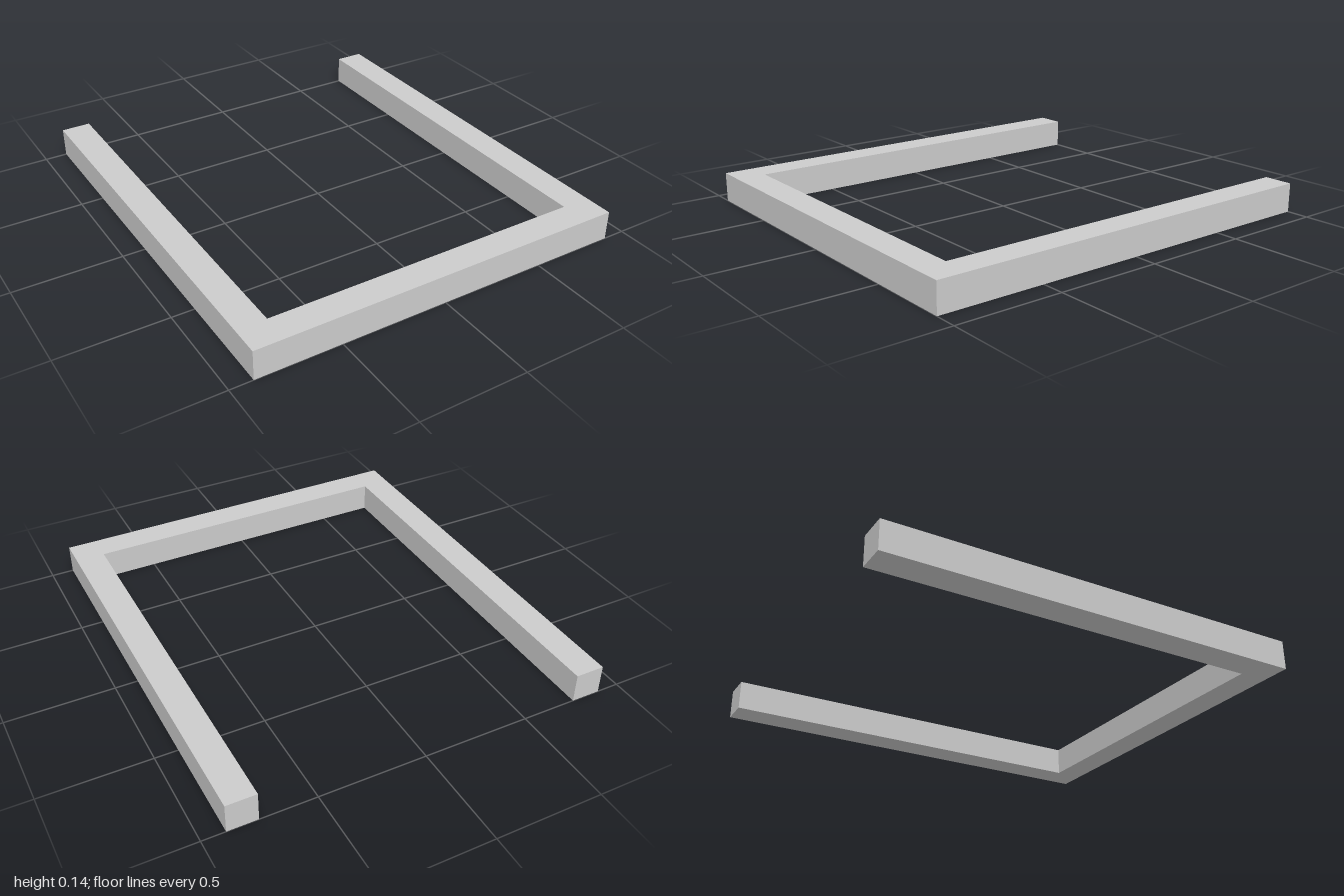
import * as THREE from 'three';

export function createModel() {
  const group = new THREE.Group();
  group.name = 'uFrame';

  const halfWidth = 0.895, halfDepth = 1, bar = 0.138;
  const inner = halfWidth - bar;

  // U-shaped outline, open at the back (shape y becomes -z)
  const outline = new THREE.Shape([
    [-halfWidth, -halfDepth], [halfWidth, -halfDepth],
    [halfWidth, halfDepth], [inner, halfDepth],
    [inner, -halfDepth + bar], [-inner, -halfDepth + bar],
    [-inner, halfDepth], [-halfWidth, halfDepth],
  ].map(([x, y]) => new THREE.Vector2(x, y)));

  // Square-section bar, laid flat on the ground
  const geometry = new THREE.ExtrudeGeometry(outline, { depth: bar, bevelEnabled: false });
  geometry.rotateX(-Math.PI / 2);

  const frame = new THREE.Mesh(
    geometry,
    new THREE.MeshStandardMaterial({ color: 0xcccccc, flatShading: true }),
  );
  frame.name = 'frame';
  group.add(frame);
  return group;
}
